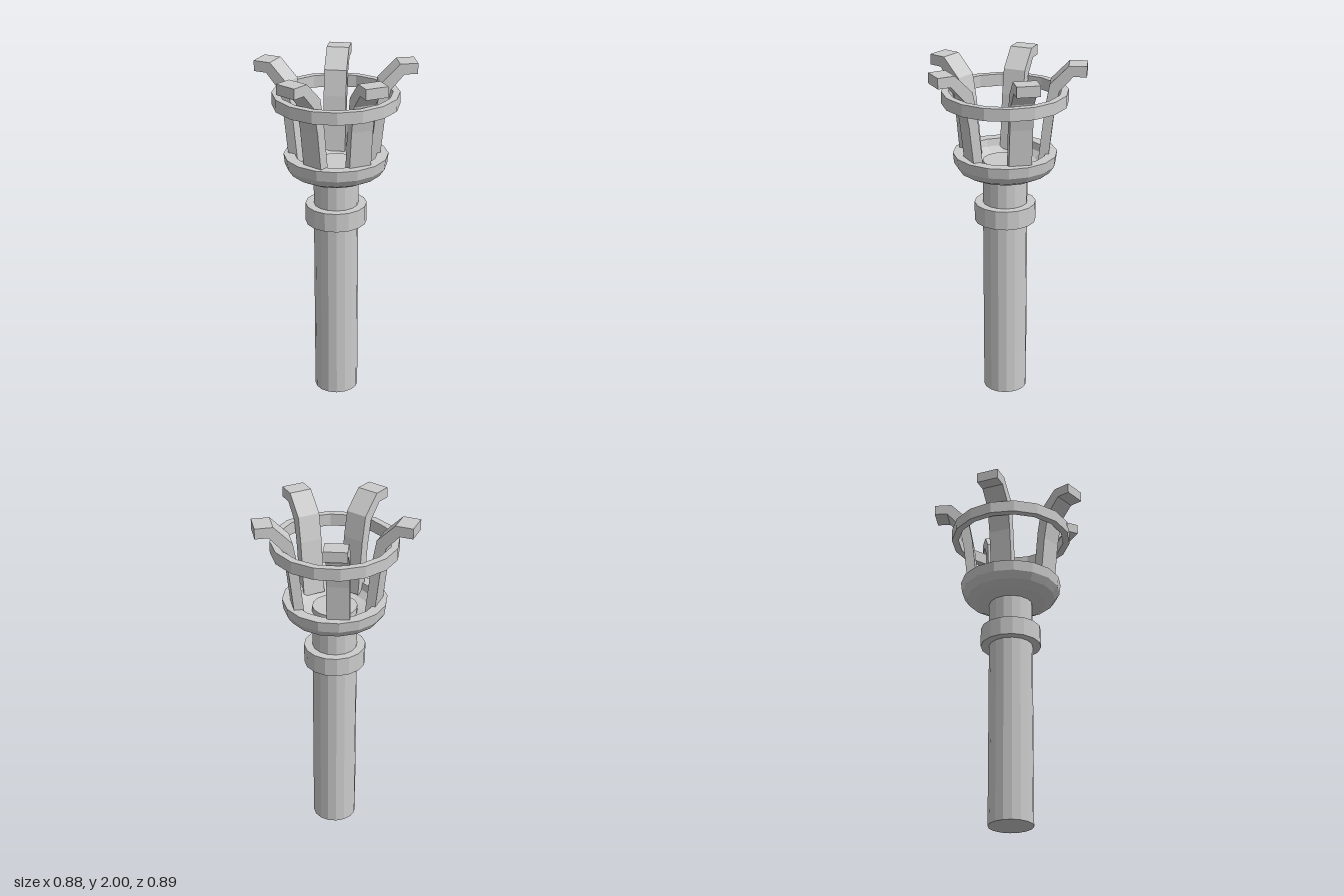
import * as THREE from 'three';

const SIDES = 16;
const CX = -0.023, CZ = -0.008; // axis of the turned parts

export function createModel() {
  const model = new THREE.Group();
  model.name = 'torch';
  const material = new THREE.MeshStandardMaterial({ color: 0xcccccc, flatShading: true });

  const add = (name, geometry, x = CX, y = 0, z = CZ) => {
    const mesh = new THREE.Mesh(geometry, material);
    mesh.name = name;
    mesh.position.set(x, y, z);
    model.add(mesh);
    return mesh;
  };
  const lathe = (points) =>
    new THREE.LatheGeometry(points.map(([r, y]) => new THREE.Vector2(r, y)), SIDES);

  // Shaft, reaching up into the bowl
  add('handle', new THREE.CylinderGeometry(0.127, 0.127, 1.44, SIDES), CX, 0.72);

  // Band around the shaft
  add('collar', new THREE.CylinderGeometry(0.175, 0.175, 0.11, SIDES), CX, 1.135);

  // Thick bowl: outside from the bottom up, over the rim, down the inside
  add('bowl', lathe([
    [0, 1.35], [0.13, 1.35], [0.205, 1.362], [0.26, 1.39], [0.288, 1.43], [0.295, 1.49],
    [0.232, 1.49], [0.222, 1.45], [0.19, 1.42], [0.13, 1.405], [0, 1.405],
  ]));

  // Hoop around the prongs
  add('hoop', lathe([
    [0.315, 1.78], [0.355, 1.78], [0.355, 1.85], [0.315, 1.85], [0.315, 1.78],
  ]));

  // Prong side profile: distance outward from its foot, and height
  const profile = new THREE.Shape([
    [0, 1.43], [0.055, 1.43], [0.085, 1.7], [0.115, 1.855], [0.19, 1.94], [0.265, 1.94],
    [0.265, 2], [0.165, 2], [0.062, 1.895], [0.035, 1.75],
  ].map(([s, y]) => new THREE.Vector2(s, y)));
  const width = 0.128;
  const prong = new THREE.ExtrudeGeometry(profile, { depth: width, bevelEnabled: false });
  prong.translate(0, 0, -width / 2).rotateY(-Math.PI / 2); // outward is now +z

  // Foot position and heading of each prong
  const feet = [
    [0.015, 0.175, 0],
    [0.167, 0.006, 1.297],
    [0.042, -0.186, 2.59],
    [-0.178, -0.118, -2.42],
    [-0.173, 0.11, -1.129],
  ];
  feet.forEach(([x, z, heading], i) => {
    add(`prong${i + 1}`, prong, x, 0, z).rotation.y = heading;
  });

  return model;
}
